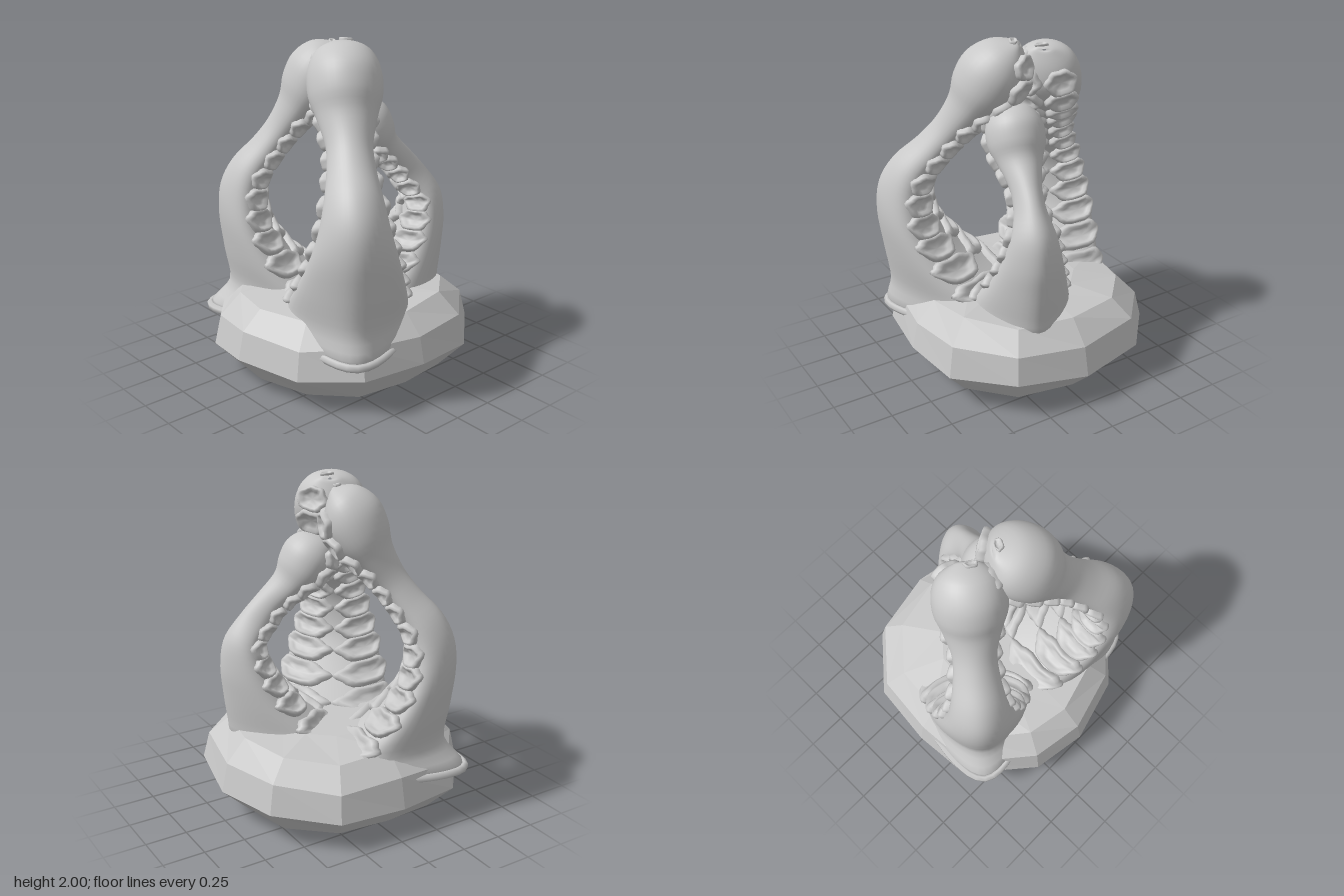
import * as THREE from 'three';
import { mergeVertices } from 'three/addons/utils/BufferGeometryUtils.js';

const stone = new THREE.MeshStandardMaterial({ color: 0xc8c8c8 });
stone.name = 'grey stone';

// Closed loops of points joined into a skin
function loft(rows, cols, point) {
  const pos = [], idx = [];
  for (let i = 0; i < rows; i++)
    for (let j = 0; j < cols; j++) {
      pos.push(...point(i, j).toArray());
      if (i === rows - 1) continue;
      const k = (j + 1) % cols, a = i * cols, b = a + cols;
      idx.push(a + j, a + k, b + j, a + k, b + k, b + j);
    }
  const g = new THREE.BufferGeometry();
  g.setAttribute('position', new THREE.Float32BufferAttribute(pos, 3));
  g.setIndex(idx);
  g.computeVertexNormals();
  return g;
}

function add(parent, name, geometry) {
  const m = new THREE.Mesh(geometry, stone);
  m.name = name;
  parent.add(m);
}

// Sections: outer reach, outer height, inner reach, inner height, half width
const tallArm = [
  [.45, .25, -.05, .30, .20], [.66, .33, -.18, .42, .35], [.64, .50, -.07, .50, .335],
  [.67, .72, .15, .64, .295], [.70, .95, .33, .83, .24], [.68, 1.13, .39, 1.02, .19],
  [.59, 1.28, .37, 1.16, .16], [.44, 1.41, .28, 1.29, .135], [.33, 1.53, .17, 1.41, .13],
  [.25, 1.67, .03, 1.53, .17], [.22, 1.80, -.10, 1.62, .21], [.15, 1.92, -.19, 1.73, .21],
  [.02, 1.99, -.20, 1.84, .165], [-.12, 1.985, -.17, 1.94, .07], [-.15, 1.97, -.155, 1.96, .01],
];
const backRings = tallArm.map(([a, b, c, d, w], i) =>
  [a * (i === 1 ? 1 : .85), b - .035, c * .83, d - .035, w * .95]);
const shortArm = [
  [.40, .30, -.05, .32, .20], [.50, .44, -.14, .43, .29], [.52, .55, -.07, .50, .27],
  [.54, .72, .11, .64, .22], [.55, .88, .25, .83, .17], [.52, 1.05, .31, 1.0, .125],
  [.41, 1.20, .25, 1.10, .09], [.31, 1.31, .18, 1.20, .09], [.21, 1.42, .07, 1.29, .125],
  [.18, 1.52, -.04, 1.36, .165], [.13, 1.61, -.12, 1.45, .165], [.04, 1.655, -.14, 1.54, .12],
  [-.06, 1.64, -.12, 1.60, .05], [-.09, 1.625, -.095, 1.62, .01],
];
const arms = [
  { name: 'frontArm', rings: tallArm, head: [-.07, 0, .12], out: [-.57, .82], skirt: true },
  { name: 'backArm', rings: backRings, head: [-.015, 0, -.21], out: [-.77, -.64], skirt: true },
  { name: 'sideArm', rings: shortArm, head: [.10, 0, .08], out: [.97, .29] },
];

// Sucker: long six-sided raised rim around a hollow cup
const suckerShape = new THREE.LatheGeometry(
  [[1, -.6], [1.03, .2], [.97, .75], [.85, 1], [.7, .9], [.56, .45], [.4, .2], [0, .12]]
    .map(p => new THREE.Vector2(...p)), 24);
suckerShape.deleteAttribute('uv');
suckerShape.deleteAttribute('normal');

function makeArm({ name, rings, head, out, skirt }) {
  const arm = new THREE.Group();
  arm.name = name;
  const V = (a, b, c) => new THREE.Vector3(a, b, c);
  const path = f => new THREE.CatmullRomCurve3(rings.map(f), false, 'catmullrom', 0.5);
  const c1 = path(r => V(r[0], r[1], r[2])), c2 = path(r => V(r[3], r[4], 0));
  const o = V(out[0], 0, out[1]).normalize(), side = V(o.z, 0, -o.x), origin = V(...head);

  // Egg-shaped section, wider on the inner side near the foot
  const surface = (t, a) => {
    const p = c1.getPoint(t), q = c2.getPoint(t), c = Math.cos(a), k = (1 + c) / 2;
    return origin.clone().addScaledVector(o, p.z + (p.x - p.z) * k).setY(q.x + (p.y - q.x) * k)
      .addScaledVector(side, q.y * Math.sin(a) * (1 - .42 * (1 - t) * c));
  };
  const normal = (t, a) => {
    const across = surface(t, a + .05).sub(surface(t, a - .05));
    return across.cross(surface(t + .004, a).sub(surface(t - .004, a))).normalize();
  };
  add(arm, name + 'Body', loft(57, 32, (i, j) => surface(i / 56, j / 32 * Math.PI * 2)));

  // Wrap a sucker onto the skin: da and dt are its half sizes around and along the arm
  const placeSucker = (t, a, da, dt, h) => {
    const g = suckerShape.clone(), pos = g.attributes.position;
    for (let i = 0; i < pos.count; i++) {
      const x = pos.getX(i), z = pos.getZ(i), f = 1 - .07 * Math.cos(6 * Math.atan2(x, z));
      const u = Math.min(t - z * f * dt, .99), b = a + x * f * da;
      pos.setXYZ(i, ...surface(u, b).addScaledVector(normal(u, b), pos.getY(i) * h).toArray());
    }
    const smooth = mergeVertices(g, 1e-5);
    smooth.computeVertexNormals();
    add(arm, 'sucker', smooth);
  };

  // Two rows of suckers, packed along the inner face
  for (const s of [-1, 1]) {
    let t = .16;
    while (t < .87) {
      const w = c2.getPoint(t).y, half = Math.min(.045 + .15 * w, .095);
      const da = Math.min(.62, (t > .6 ? .09 : .2) / w), a = Math.PI + s * (da + .05);
      const speed = surface(t + .01, a).distanceTo(surface(t - .01, a)) / .02;
      const dt = Math.min(half / speed, .07);
      placeSucker(t, a, da, dt, .038);
      t += 1.95 * dt;
    }
  }
  // Small ring at the tip
  const tip = .93, w = c2.getPoint(tip).y;
  placeSucker(tip, Math.PI * .1, .04 / w, .02, .014);

  // Thin lip where the arm folds over the rim of the rock
  if (skirt) {
    const pts = [];
    for (let i = 0; i <= 8; i++)
      pts.push(surface(1 / (rings.length - 1), -1.3 + i / 8 * 2.6).addScaledVector(o, .01));
    add(arm, name + 'Lip', new THREE.TubeGeometry(new THREE.CatmullRomCurve3(pts), 16, .025, 6));
  }
  return arm;
}

// Faceted rock: one outline repeated at several heights
function makeRock() {
  const outline = [[0, .73], [.38, .69], [.68, .42], [.76, 0], [.67, -.42], [.37, -.69], [-.03, -.73],
    [-.4, -.70], [-.71, -.33], [-.77, 0], [-.66, .4], [-.4, .67]];
  const levels = [[0, 0], [.02, .5], [.05, .8], [.21, 1], [.38, .95], [.5, .79], [.53, .45], [.53, 0]];
  const g = loft(levels.length, outline.length, (i, j) => {
    const [y, s] = levels[i], [x, z] = outline[j];
    const wobble = i > 2 && i < 6 ? .015 * Math.sin(j * 2.6 + i) + .02 * z : 0;
    return new THREE.Vector3(x * s, y + wobble, z * s);
  }).toNonIndexed();
  g.computeVertexNormals();
  return g;
}

export function createModel() {
  const model = new THREE.Group();
  model.name = 'tentacleSculpture';
  add(model, 'rockBase', makeRock());
  for (const a of arms) model.add(makeArm(a));
  return model;
}
